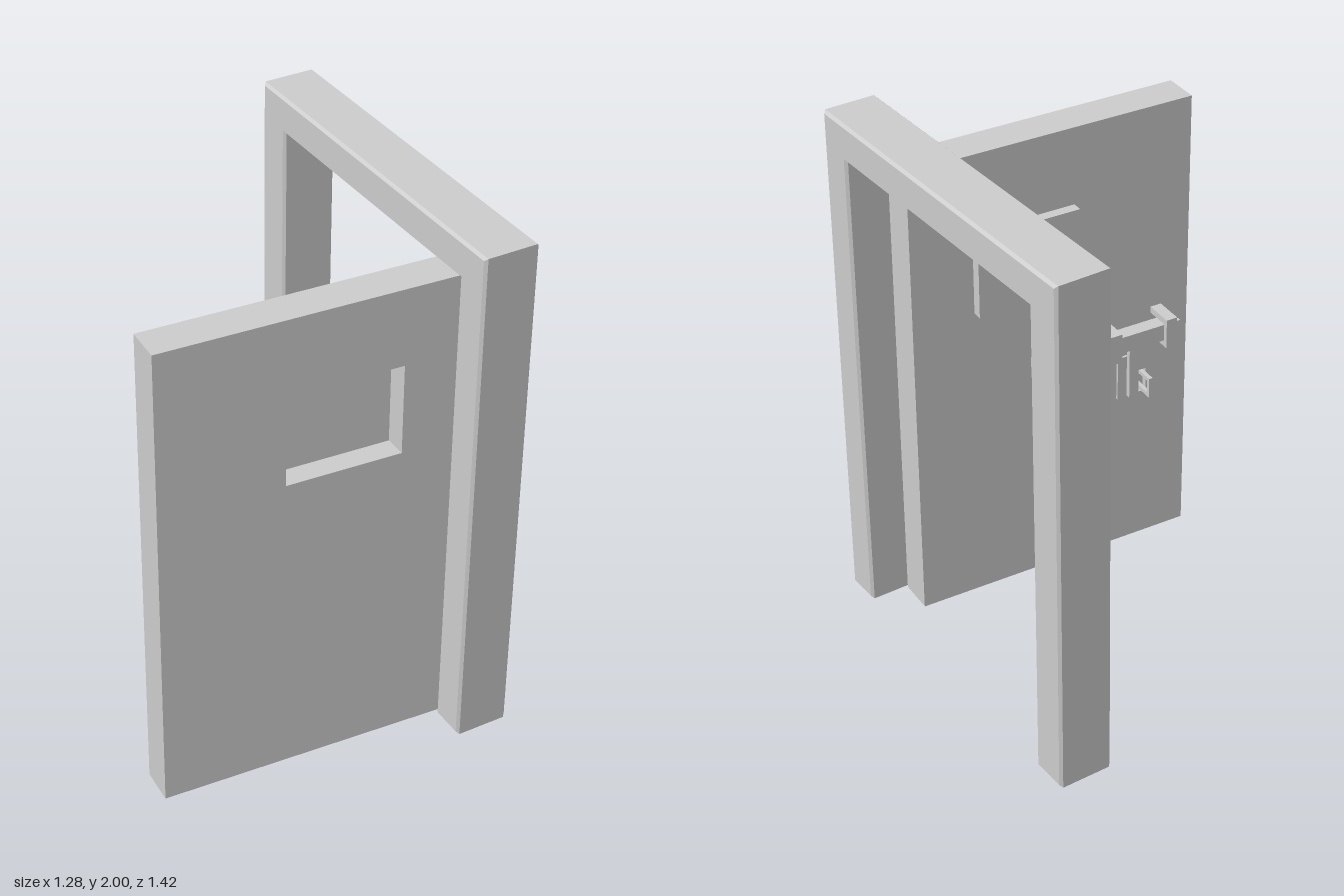
import * as THREE from 'three';

const material = new THREE.MeshStandardMaterial({ color: 0xcccccc, flatShading: true });

function add(parent, name, geometry) {
  const mesh = new THREE.Mesh(geometry, material);
  mesh.name = name;
  parent.add(mesh);
  return mesh;
}

// Box given by its lower and upper limits on each axis
function box(parent, name, [x0, x1], [y0, y1], [z0, z1]) {
  const mesh = add(parent, name, new THREE.BoxGeometry(x1 - x0, y1 - y0, z1 - z0));
  mesh.position.set((x0 + x1) / 2, (y0 + y1) / 2, (z0 + z1) / 2);
  return mesh;
}

function polygon(points, Type = THREE.Shape) {
  return new Type(points.map(([x, y]) => new THREE.Vector2(x, y)));
}

const rect = (x0, x1, y0, y1) => [[x0, y0], [x1, y0], [x1, y1], [x0, y1]];

// Doorframe: chamfered arch of two posts and a lintel, running along z
function buildFrame() {
  const bevel = 0.01;
  const arch = polygon([
    [-0.71, 0], [-0.57, 0], [-0.57, 1.86], [0.56, 1.86],
    [0.56, 0], [0.71, 0], [0.71, 2], [-0.71, 2],
  ]);
  const geometry = new THREE.ExtrudeGeometry(arch, {
    depth: 0.21 - 2 * bevel, bevelEnabled: true, bevelSegments: 1,
    bevelSize: bevel, bevelThickness: bevel, bevelOffset: -bevel,
  });
  geometry.rotateY(Math.PI / 2);
  geometry.translate(0.43 + bevel, 0, 0);
  return geometry;
}

// Front half of the door, with a pocket that narrows towards the back
function buildDoorFront(length, height, depth) {
  const cx = -0.453, cy = 1.38, w = 0.435, h = 0.35, inset = 0.012;
  const shape = polygon(rect(-length, 0, 0, height));
  shape.holes.push(polygon(rect(cx - w / 2, cx + w / 2, cy - h / 2, cy + h / 2), THREE.Path));
  const geometry = new THREE.ExtrudeGeometry(shape, { depth, bevelEnabled: false });
  const p = geometry.attributes.position;
  for (let i = 0; i < p.count; i++) {
    const dx = p.getX(i) - cx, dy = p.getY(i) - cy;
    const inPocket = Math.abs(dx) < w / 2 + 0.001 && Math.abs(dy) < h / 2 + 0.001;
    if (inPocket && p.getZ(i) < 0.001) {
      p.setXY(i, p.getX(i) - Math.sign(dx) * inset, p.getY(i) - Math.sign(dy) * inset);
    }
  }
  geometry.computeVertexNormals();
  return geometry;
}

export function createModel() {
  const model = new THREE.Group();
  model.name = 'openDoor';
  add(model, 'doorFrame', buildFrame());

  // Door swung open; its origin is the back corner at the hinge
  const door = new THREE.Group();
  door.name = 'door';
  door.position.set(0.5, 0, 0.42);
  door.rotation.set(-0.006, -0.067, 0);
  model.add(door);

  const length = 1.138, height = 1.85;
  box(door, 'doorBackPanel', [-length, 0], [0, height], [0, 0.07]);
  add(door, 'doorFrontPanel', buildDoorFront(length, height, 0.07)).position.z = 0.07;
  box(door, 'hatchPlate', [-0.655, -0.245], [1.22, 1.545], [-0.04, 0]);

  // Sliding bolt held by two straps
  const latch = new THREE.Group();
  latch.name = 'latch';
  door.add(latch);
  box(latch, 'bolt', [-1.05, -0.45], [0.925, 0.992], [-0.097, -0.039]);
  for (const x of [[-1.025, -0.98], [-0.79, -0.733]]) {
    box(latch, 'strapBack', x, [0.9, 1.02], [-0.115, -0.097]);
    box(latch, 'strapTop', x, [0.995, 1.02], [-0.097, 0]);
    box(latch, 'strapBottom', x, [0.9, 0.922], [-0.097, 0]);
  }

  // Slotted hasp hanging from the bolt
  const haspShape = polygon(rect(-0.955, -0.84, 0.71, 0.925));
  haspShape.holes.push(polygon(rect(-0.91, -0.88, 0.725, 0.82), THREE.Path));
  add(latch, 'hasp', new THREE.ExtrudeGeometry(haspShape, { depth: 0.02, bevelEnabled: false }))
    .position.z = -0.085;

  // Staple through the hasp, on its mounting plate
  box(latch, 'staplePlate', [-0.975, -0.835], [0.66, 0.84], [-0.01, 0]);
  const stapleX = [-0.903, -0.887];
  box(latch, 'stapleTop', stapleX, [0.797, 0.812], [-0.147, -0.01]);
  box(latch, 'stapleBottom', stapleX, [0.73, 0.745], [-0.147, -0.01]);
  box(latch, 'stapleEnd', stapleX, [0.745, 0.797], [-0.147, -0.132]);

  return model;
}
